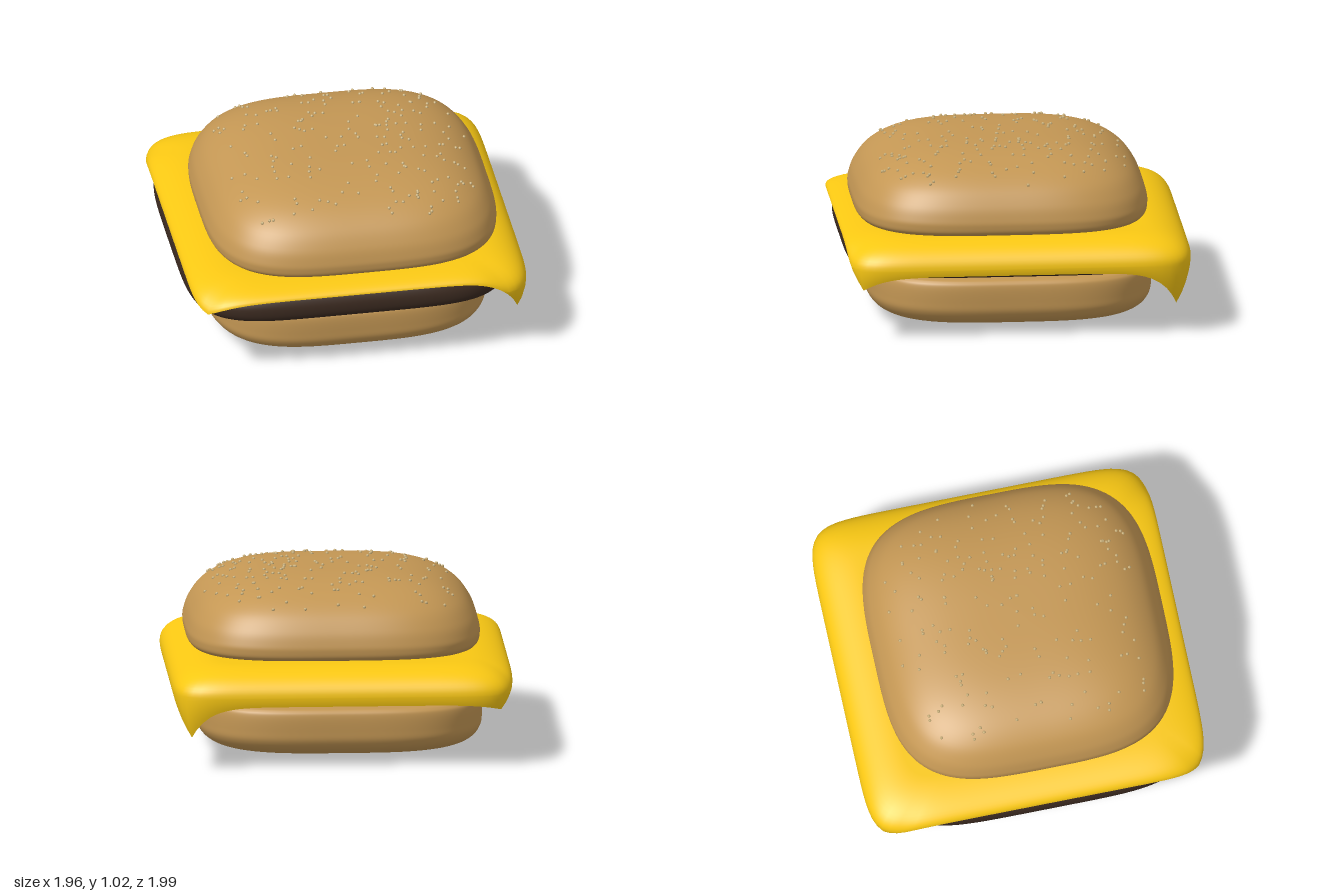
import * as THREE from 'three';
import { mergeVertices, mergeGeometries } from 'three/addons/utils/BufferGeometryUtils.js';

const SEGS = 192;

// Point of a unit rounded square (superellipse) in direction a
function outline(a, n) {
  const c = Math.cos(a), s = Math.sin(a);
  const k = Math.pow(Math.abs(c) ** n + Math.abs(s) ** n, -1 / n);
  return [c * k, s * k];
}

// Closed rings stacked from rows, smooth shaded
function ringSurface(rows, pointAt) {
  const pos = [], index = [];
  for (let i = 0; i < rows; i++) {
    for (let j = 0; j < SEGS; j++) pos.push(...pointAt(i, (j / SEGS) * Math.PI * 2));
  }
  for (let i = 0; i < rows - 1; i++) {
    for (let j = 0; j < SEGS; j++) {
      const k = (j + 1) % SEGS;
      const a = i * SEGS + j, b = i * SEGS + k, c = a + SEGS, d = b + SEGS;
      index.push(a, c, b, b, c, d);
    }
  }
  const geo = new THREE.BufferGeometry();
  geo.setAttribute('position', new THREE.Float32BufferAttribute(pos, 3));
  geo.setIndex(index);
  const merged = mergeVertices(geo, 1e-5);
  merged.computeVertexNormals();
  return merged;
}

// Smooth profile of [radius, y] points, from the bottom centre to the top centre
function smoothProfile(points) {
  const pts = new THREE.SplineCurve(points.map(p => new THREE.Vector2(...p))).getPoints(points.length * 5);
  pts.forEach(p => { p.x = Math.max(0, p.x); });
  return pts;
}

function squareLoft(profile, n, cx, cz) {
  return ringSurface(profile.length, (i, a) => {
    const [u, v] = outline(a, n), { x: r, y } = profile[i];
    return [cx + u * r, y, cz + v * r];
  });
}

// Cheese slice: flat top, edges bend down, corners hang lower than the sides
function cheeseGeometry() {
  const TOP = 0.58, BEND = 0.26, LOWER = 10, CURVE = 14, FLAT = 4;
  const side = { front: 0.52, back: 0.375, left: 0.39, right: 0.485 };
  const edgeHeight = (u, v) => {
    const au = Math.abs(u), av = Math.abs(v);
    const mid = au > av ? (u > 0 ? side.left : side.right) : (v > 0 ? side.front : side.back);
    const corner = v > 0 ? (u > 0 ? 0.30 : 0.44) : (u > 0 ? 0.185 : 0.335);
    const w = Math.min(1, Math.min(au, av) / 0.933) ** 8;
    return mid + (corner - mid) * w;
  };
  return ringSurface(LOWER + CURVE + FLAT + 1, (i, a) => {
    const [u, v] = outline(a, 10);
    const drop = TOP - edgeHeight(u, v), h = Math.min(drop, 0.15);
    let inset, y;
    if (i < LOWER) {                       // hanging rim, leaning inwards
      const t = 1 - i / LOWER;
      y = TOP - h - (drop - h) * t;
      inset = 0.15 * (drop - h) * t * t;
    } else if (i < LOWER + CURVE) {        // quarter-ellipse bend
      const t = ((i - LOWER) / CURVE) * Math.PI / 2;
      y = TOP - h + h * Math.sin(t);
      inset = BEND * (1 - Math.cos(t));
    } else {                               // flat top
      y = TOP;
      inset = BEND + (0.98 - BEND) * (i - LOWER - CURVE) / FLAT;
    }
    const r = 1 - inset / 0.98;
    return [u * r * 0.978, y, v * r * 0.995 - 0.004];
  });
}

// Sesame seeds scattered over the crown
function seedGeometry(profile, n, cx, cz, count) {
  let state = 7;
  const rand = () => (state = (state * 16807) % 2147483647) / 2147483647;
  const upper = profile.filter(p => p.y > 0.7);
  const seeds = [];
  for (let k = 0; k < count; k++) {
    const x = (rand() * 2 - 1) * 0.74, z = (rand() * 2 - 1) * 0.74;
    const r = (Math.abs(x) ** n + Math.abs(z) ** n) ** (1 / n);
    if (r > 0.735) continue;
    const i = Math.max(1, upper.findIndex(p => p.x <= r));
    const p = upper[i - 1], q = upper[i];
    const y = THREE.MathUtils.mapLinear(r, p.x, q.x, p.y, q.y);
    seeds.push(new THREE.SphereGeometry(0.01, 6, 4).translate(cx + x, y + 0.002, cz + z));
  }
  return mergeGeometries(seeds);
}

export function createModel() {
  const group = new THREE.Group();
  const add = (name, geo, color, side = THREE.FrontSide) => {
    const mesh = new THREE.Mesh(geo, new THREE.MeshStandardMaterial({ color, side }));
    mesh.name = name;
    group.add(mesh);
  };
  const BUN = 0xc49754;

  // Bottom bun
  const heel = smoothProfile([
    [0, 0], [0.3, 0.003], [0.55, 0.016], [0.7, 0.042], [0.78, 0.078], [0.818, 0.13], [0.825, 0.19],
    [0.825, 0.27], [0.812, 0.305], [0.77, 0.32], [0.6, 0.325], [0, 0.325],
  ]);
  add('bottomBun', squareLoft(heel, 3.5, -0.005, 0.015), BUN);

  // Patty
  const patty = smoothProfile([
    [0, 0.33], [0.6, 0.332], [0.84, 0.342], [0.91, 0.362], [0.935, 0.39], [0.942, 0.43],
    [0.935, 0.47], [0.91, 0.51], [0.86, 0.538], [0.78, 0.553], [0.6, 0.56], [0, 0.562],
  ]);
  add('patty', squareLoft(patty, 5, -0.042, 0.03), 0x3b2a20);

  // Cheese
  add('cheeseSlice', cheeseGeometry(), 0xf9c813, THREE.DoubleSide);

  // Top bun with seeds
  const crown = smoothProfile([
    [0, 0.59], [0.6, 0.59], [0.79, 0.592], [0.835, 0.61], [0.845, 0.65], [0.84, 0.69], [0.812, 0.765],
    [0.745, 0.855], [0.63, 0.93], [0.47, 0.98], [0.27, 1.004], [0, 1.01],
  ]);
  add('topBun', squareLoft(crown, 3.5, 0.025, 0.06), BUN);
  add('sesameSeeds', seedGeometry(crown, 3.5, 0.025, 0.06, 240), 0xc9b07a);

  return group;
}
